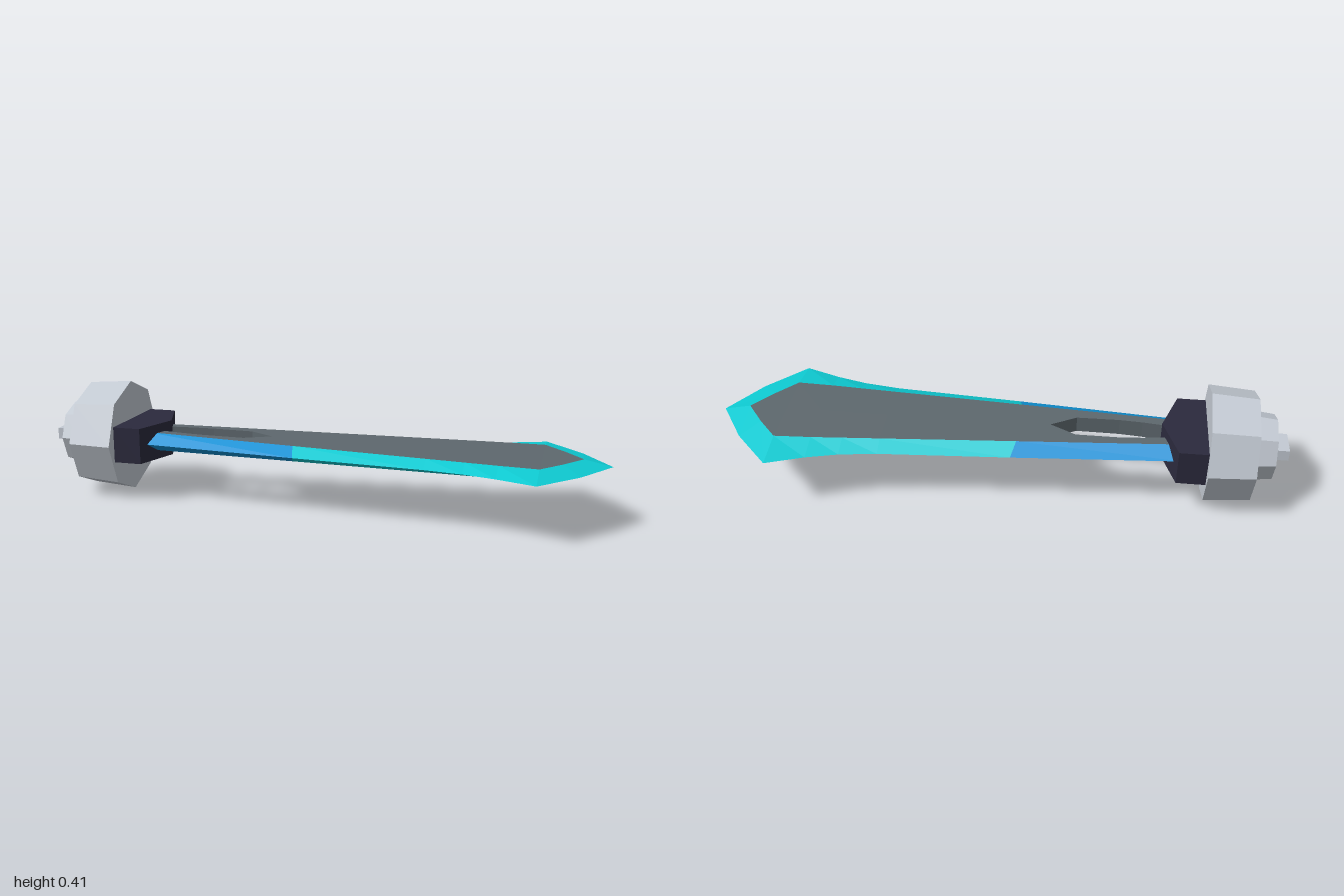
import * as THREE from 'three';

const MID = 0.205; // height of the long axis

const material = (name, color, side = THREE.FrontSide) => {
  const m = new THREE.MeshStandardMaterial({ color, side, flatShading: true });
  m.name = name;
  return m;
};

// Flat quads mirrored across the blade's two planes of symmetry
function mirroredQuads(quads) {
  const pos = [];
  for (const sy of [1, -1]) for (const sz of [1, -1]) {
    for (const quad of quads) {
      const p = quad.map(([x, y, z]) => [x, y * sy, z * sz]);
      if (sy * sz < 0) p.reverse();
      for (const i of [0, 1, 2, 0, 2, 3]) pos.push(...p[i]);
    }
  }
  const g = new THREE.BufferGeometry();
  g.setAttribute('position', new THREE.Float32BufferAttribute(pos, 3));
  g.computeVertexNormals();
  return g;
}

// Blade half thickness and half width of its flat face along x
const thick = x => THREE.MathUtils.mapLinear(Math.min(x, 0.77), -0.6, 0.77, 0.032, 0.02);
const flat = x => THREE.MathUtils.mapLinear(x, -0.6, 0.64, 0.072, 0.16);

export function createModel() {
  const group = new THREE.Group();
  const silver = material('silver', 0xc4cbd4);
  const dark = material('dark guard', 0x2b2a3d);
  const steel = material('grey steel', 0x5e686e);
  const cyan = material('cyan edge', 0x0eccd4);
  const blue = material('blue edge', 0x0f94d8);

  const add = (name, geometry, mat) => {
    const mesh = new THREE.Mesh(geometry, mat);
    mesh.name = name;
    mesh.position.y = MID;
    group.add(mesh);
  };

  // Octagonal pommel, stepped down to a small lug
  const octagon = (x0, x1, r0, r1) =>
    new THREE.CylinderGeometry(r1, r0, x1 - x0, 8).rotateZ(-Math.PI / 2).translate((x0 + x1) / 2, 0, 0);
  add('pommel', octagon(-0.88, -0.72, 0.191, 0.203), silver);
  add('pommelCollar', octagon(-0.95, -0.88, 0.113, 0.121), silver);
  add('pommelLug', new THREE.BoxGeometry(0.06, 0.04, 0.1).translate(-0.97, 0, 0), silver);

  // Guard with a shallow point toward the blade
  const outline = [[-0.72, -0.16], [-0.62, -0.16], [-0.565, 0], [-0.62, 0.16], [-0.72, 0.16]];
  const guard = new THREE.ExtrudeGeometry(
    new THREE.Shape(outline.map(p => new THREE.Vector2(...p))), { depth: 0.128, bevelEnabled: false });
  add('guard', guard.translate(0, 0, -0.064).rotateX(-Math.PI / 2), dark);

  // Bevelled edges: [outer x, outer z, inner x, inner z]
  const bevel = stations => mirroredQuads(stations.slice(1).map((b, i) => {
    const a = stations[i];
    const inner = s => [s[2], thick(s[2]), s[3]];
    const outer = s => [s[0], 0, s[1]];
    return [inner(a), outer(a), outer(b), inner(b)];
  }));
  const seam = [-0.055, 0.168, -0.07, flat(-0.07)];
  add('lowerEdge', bevel([[-0.64, 0.122, -0.64, flat(-0.64)], seam]), blue);
  add('upperEdge', bevel([
    seam,
    [0.4, 0.2, 0.4, flat(0.4)],
    [0.53, 0.219, 0.53, flat(0.53)],
    [0.64, 0.248, 0.64, flat(0.64)],
    [0.77, 0.295, 0.77, 0.166],
    [0.9, 0.155, 0.84, 0.086],
    [1, 0, 0.905, 0],
  ]), cyan);

  // Flat faces around the slot: [x, slot half width, face half width]
  const core = [
    [-0.64, 0.02], [-0.57, 0.036], [-0.5, 0.045], [-0.42, 0.051], [-0.27, 0.05], [-0.18, 0],
    [-0.07, 0], [0.4, 0], [0.53, 0], [0.64, 0], [0.77, 0, 0.166], [0.84, 0, 0.086], [0.905, 0, 0],
  ].map(([x, slot, face = flat(x)]) => [x, slot, face]);
  const faces = [], walls = [];
  for (let i = 1; i < core.length; i++) {
    const a = core[i - 1], b = core[i];
    const at = (s, k) => [s[0], thick(s[0]), s[k]];
    faces.push([at(a, 1), at(a, 2), at(b, 2), at(b, 1)]);
    if (a[1] > 0) walls.push([[a[0], 0, a[1]], at(a, 1), at(b, 1), [b[0], 0, b[1]]]);
  }
  add('bladeFaces', mirroredQuads(faces), steel);
  add('slotWalls', mirroredQuads(walls), steel);

  return group;
}
